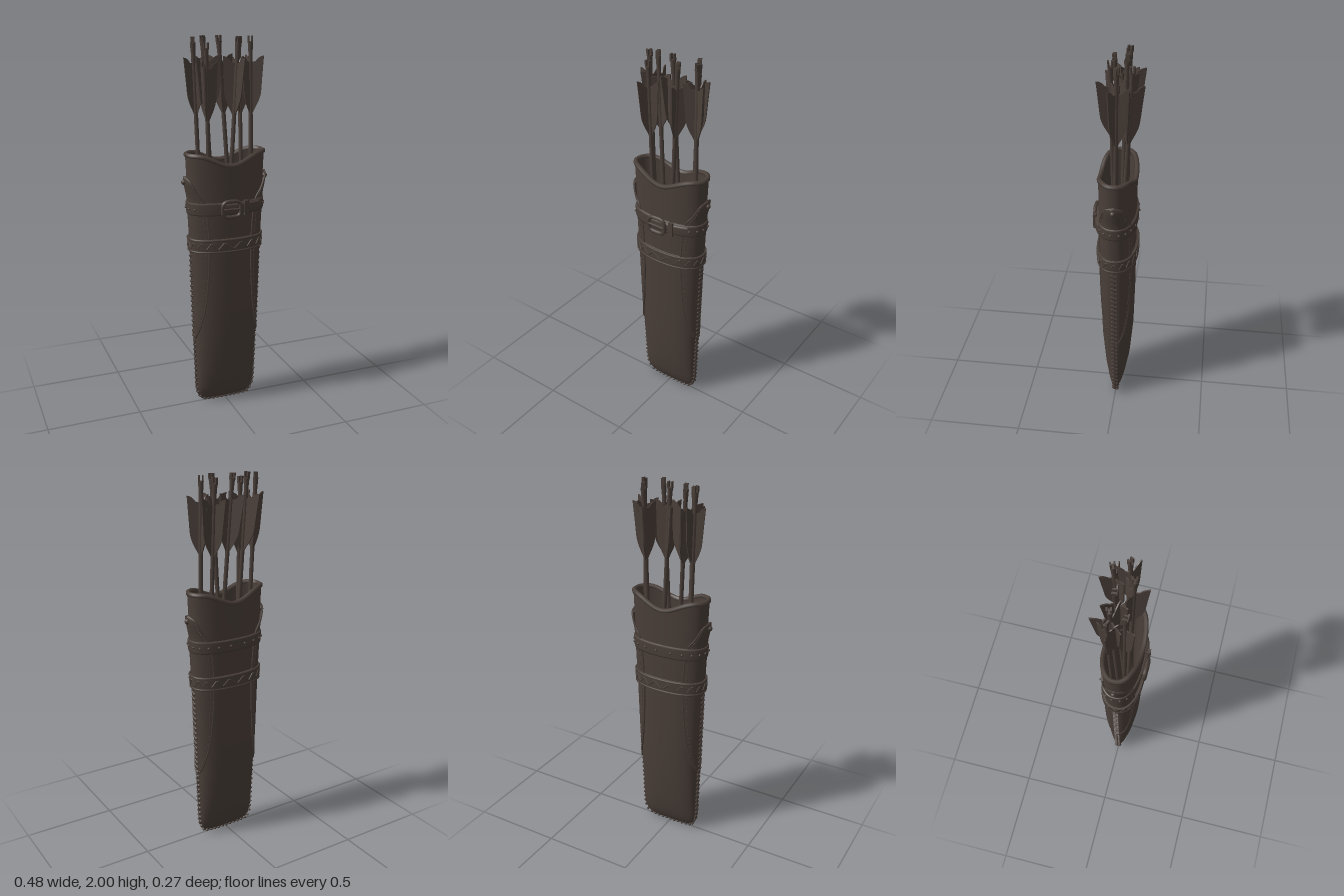
import * as THREE from 'three';
import { mergeGeometries, mergeVertices } from 'three/addons/utils/BufferGeometryUtils.js';

const V = (x, y, z) => new THREE.Vector3(x, y, z);
const TAU = Math.PI * 2;

// Half width and half depth of the case at each height: [y, w, d]
const PROFILE = [
  [0.01, 0.09, 0.004], [0.015, 0.125, 0.014], [0.03, 0.147, 0.024], [0.06, 0.16, 0.036],
  [0.1, 0.166, 0.047], [0.2, 0.169, 0.066], [0.4, 0.176, 0.084], [0.65, 0.183, 0.091],
  [0.9, 0.19, 0.094], [1.2, 0.204, 0.096], [1.45, 0.215, 0.097],
];

function sizeAt(y) {
  let i = 0;
  while (i < PROFILE.length - 2 && y > PROFILE[i + 1][0]) i++;
  const [a, b] = [PROFILE[i], PROFILE[i + 1]];
  const t = THREE.MathUtils.clamp((y - a[0]) / (b[0] - a[0]), 0, 1);
  return [a[1] + (b[1] - a[1]) * t, a[2] + (b[2] - a[2]) * t];
}

// Point on the case; phi = 0 is +x, phi = PI/2 is the front
function onCase(phi, y, off = 0) {
  const [w, d] = sizeAt(y);
  const p = (v) => Math.sign(v) * Math.abs(v) ** 0.86;
  return V((w + off) * p(Math.cos(phi)), y, (d + off) * p(Math.sin(phi)));
}

// Smooth surface from a rule over u, v in 0..1
function surface(nu, nv, fn) {
  const pos = [], idx = [];
  for (let i = 0; i <= nu; i++)
    for (let j = 0; j <= nv; j++) pos.push(...fn(i / nu, j / nv).toArray());
  for (let i = 0; i < nu; i++)
    for (let j = 0; j < nv; j++) {
      const a = i * (nv + 1) + j, d = a + nv + 1;
      idx.push(a, a + 1, d + 1, a, d + 1, d);
    }
  let g = new THREE.BufferGeometry();
  g.setAttribute('position', new THREE.Float32BufferAttribute(pos, 3));
  g.setIndex(idx);
  g = mergeVertices(g, 1e-5);
  g.computeVertexNormals();
  return g;
}

// Flat strap wrapped round the case between two angles
function strap(y0, y1, off, from = 0, to = TAU, base = -0.004) {
  const rows = [[base, y0], [off * 0.8, y0], [off, y0 + 0.008], [off, y1 - 0.008], [off * 0.8, y1], [base, y1]];
  return surface(96, rows.length - 1, (u, v) => {
    const [o, y] = rows[Math.round(v * (rows.length - 1))];
    return onCase(from + (to - from) * u, y, o);
  });
}

const tube = (pts, r, closed = false, n = 96) =>
  new THREE.TubeGeometry(new THREE.CatmullRomCurve3(pts, closed), n, r, 6, closed);

// Short rounded stitch between two points
function stitch(a, b, r) {
  const dir = b.clone().sub(a);
  const g = new THREE.CapsuleGeometry(r, dir.length(), 2, 6);
  g.applyQuaternion(new THREE.Quaternion().setFromUnitVectors(V(0, 1, 0), dir.normalize()));
  return g.translate((a.x + b.x) / 2, (a.y + b.y) / 2, (a.z + b.z) / 2);
}

function rimHeight(phi) {
  const x = Math.min(1, Math.abs(onCase(phi, 1.4).x) / 0.185);
  return 1.412 - 0.055 * (0.5 + 0.5 * Math.cos(Math.PI * x));
}

export function createModel() {
  const root = new THREE.Group();
  root.name = 'arrowQuiver';
  const leather = new THREE.MeshStandardMaterial({ color: 0x4a3f39, side: THREE.DoubleSide });
  leather.name = 'darkBrown';
  const add = (name, geo, parent = root) => {
    const m = new THREE.Mesh(geo, leather);
    m.name = name;
    parent.add(m);
    return m;
  };

  // Case: outer wall, lining, floor and rolled rim
  const ys = [...PROFILE.slice(0, 9).map((r) => r[0]), 1.05, 1.2];
  add('caseBody', surface(80, ys.length, (u, v) => {
    const i = Math.round(v * ys.length), phi = u * TAU;
    return onCase(phi, i < ys.length ? ys[i] : rimHeight(phi));
  }));
  add('caseLining', surface(64, 8, (u, v) => {
    const phi = -u * TAU;
    return onCase(phi, 0.2 + (rimHeight(phi) - 0.2) * v, -0.016);
  }));
  add('caseFloor', surface(48, 1, (u, v) => {
    const p = onCase(-u * TAU, 0.2, -0.016);
    return V(p.x * v, 0.2, p.z * v);
  }));
  const rim = Array.from({ length: 72 }, (_, i) => {
    const phi = (i / 72) * TAU;
    return onCase(phi, rimHeight(phi), -0.005);
  });
  add('caseRim', tube(rim, 0.013, true, 144));

  // Side panels: half-angle outline against height, flared to a tab at the top
  const outline = new THREE.CatmullRomCurve3([
    V(0, 0.385, 0), V(0.25, 0.41, 0), V(0.55, 0.48, 0), V(0.8, 0.6, 0), V(0.92, 0.75, 0),
    V(0.97, 0.9, 0), V(0.96, 1.05, 0), V(0.88, 1.16, 0), V(0.62, 1.22, 0), V(0.4, 1.275, 0), V(0, 1.3, 0)]);
  const panelPoint = (mid, t, k, lift = 0) => {
    const p = outline.getPoint(t);
    const flare = 0.016 * THREE.MathUtils.smoothstep(p.y, 1.17, 1.29) * (1 - 0.4 * Math.abs(k));
    return onCase(mid + k * Math.max(0, p.x), p.y, 0.005 + flare + lift);
  };
  for (const [side, mid] of [['left', 0], ['right', Math.PI]]) {
    const s = mid ? -1 : 1;
    add(side + 'SidePanel', surface(24, 50, (u, v) => panelPoint(mid, v, u * 2 - 1)));
    const edge = [];
    for (let i = 0; i <= 40; i++) edge.push(panelPoint(mid, i / 40, 1, -0.002));
    for (let i = 39; i > 0; i--) edge.push(panelPoint(mid, i / 40, -1, -0.002));
    add(side + 'PanelEdge', tube(edge, 0.005, true, 160));

    const dashes = [];
    for (const k of [-0.87, 0.87])
      for (let i = 4; i < 50; i++)
        dashes.push(stitch(panelPoint(mid, i / 54, k), panelPoint(mid, (i + 0.55) / 54, k), 0.0025));
    add(side + 'PanelStitching', mergeGeometries(dashes));

    // Rivet on the tab
    const rivet = add(side + 'TabRivet', new THREE.SphereGeometry(0.014, 16, 10));
    rivet.position.set(s * 0.226, 1.272, 0);

    // Laced seam down the side
    const seam = [], laces = [];
    for (let i = 0; i <= 30; i++) seam.push(onCase(mid, 0.02 + i * 0.029, 0.003));
    for (let y = 0.03; y < 0.9; y += 0.029) {
      const p = onCase(mid, y, y > 0.39 ? 0.006 : 0.003);
      laces.push(stitch(V(p.x, y - 0.004, -0.012), V(p.x, y + 0.004, 0.012), 0.0065));
    }
    add(side + 'Seam', tube(seam, 0.006));
    add(side + 'SeamLacing', mergeGeometries(laces));
  }

  // Laced seam along the bottom
  const bottomLaces = [];
  for (let i = -5; i <= 5; i++) {
    const x = i * 0.0255, y = 0.008 + 0.006 * (i / 5) ** 4;
    bottomLaces.push(stitch(V(x - 0.003, y, -0.01), V(x + 0.003, y, 0.01), 0.008));
  }
  add('bottomLacing', mergeGeometries(bottomLaces));
  add('bottomSeam', tube([V(-0.147, 0.028, 0), V(-0.12, 0.014, 0), V(0, 0.01, 0), V(0.12, 0.014, 0), V(0.147, 0.028, 0)], 0.007));

  // Lower belt with raised edges and zigzag lacing
  add('lowerBelt', strap(0.9, 0.972, 0.013));
  const zigzag = [];
  for (let i = 0; i < 36; i++) {
    const a = (i / 36) * TAU, up = i % 2 ? 1 : -1;
    zigzag.push(stitch(onCase(a, 0.936 - up * 0.014, 0.013), onCase(a + 0.13, 0.936 + up * 0.014, 0.013), 0.0045));
  }
  add('lowerBeltLacing', mergeGeometries(zigzag));
  for (const y of [0.904, 0.968])
    add('lowerBeltEdge', tube(Array.from({ length: 48 }, (_, i) => onCase((i / 48) * TAU, y, 0.011)), 0.006, true));

  // Upper belt, loose end and studs
  add('upperBelt', strap(1.102, 1.168, 0.011));
  add('beltEnd', strap(1.108, 1.162, 0.021, 0.8, 1.75, 0.009));
  const studs = [];
  for (let i = 0; i < 20; i++) {
    const p = onCase((i / 20) * TAU + 0.1, 1.135, 0.012);
    if (p.z < 0.08) studs.push(new THREE.SphereGeometry(0.007, 8, 6).translate(p.x, p.y, p.z));
  }
  add('beltStuds', mergeGeometries(studs));

  // Buckle at the front
  const buckle = new THREE.Group();
  buckle.name = 'buckle';
  buckle.position.set(-0.008, 1.136, 0.119);
  root.add(buckle);
  const q = (v) => Math.sign(v) * Math.abs(v) ** 0.6;
  add('buckleFrame', tube(Array.from({ length: 32 }, (_, i) =>
    V(0.05 * q(Math.cos(i / 32 * TAU)), 0.042 * q(Math.sin(i / 32 * TAU)), 0)), 0.01, true), buckle);
  add('bucklePin', stitch(V(-0.045, 0, 0.004), V(0.045, 0, 0.006), 0.006), buckle);
  add('beltKeeper', new THREE.BoxGeometry(0.024, 0.08, 0.016), buckle).position.set(0.085, 0, -0.007);

  // Arrows: [x, z, top, lean x, lean z, turn, vane scale]
  const arrows = [
    [-0.157, -0.04, 1.995, -0.035, -0.01, 1.15, 0.72],
    [-0.105, -0.04, 2.0, -0.05, -0.02, 1.83, 1.2],
    [-0.112, 0.032, 1.97, -0.02, 0.01, -0.05, 0.8],
    [-0.02, -0.04, 2.0, -0.065, -0.02, 0.1, 0.95],
    [0.06, 0.03, 1.995, 0.05, 0.01, -1.35, 0.95],
    [0.107, -0.08, 1.99, -0.005, -0.05, 2.0, 0.9],
    [0.142, -0.01, 1.995, -0.01, -0.01, -0.55, 0.92],
  ];
  const vane = new THREE.Shape();
  vane.moveTo(0.006, -0.4);
  vane.bezierCurveTo(0.02, -0.36, 0.055, -0.33, 0.06, -0.27);
  vane.quadraticCurveTo(0.067, -0.18, 0.075, -0.098);
  vane.quadraticCurveTo(0.045, -0.1, 0.03, -0.125);
  vane.lineTo(0.006, -0.13);
  const vaneGeo = new THREE.ExtrudeGeometry(vane, { depth: 0.006, bevelEnabled: false, curveSegments: 8 }).translate(0, 0, -0.003);
  const shaftGeo = new THREE.CylinderGeometry(0.011, 0.011, 1.46, 12).translate(0, -0.77, 0);
  const nockGeo = new THREE.CylinderGeometry(0.014, 0.011, 0.055, 12).translate(0, -0.055, 0);
  const prongGeo = new THREE.BoxGeometry(0.008, 0.034, 0.018).translate(0, -0.017, 0);
  for (const [x, z, top, lx, lz, turn, k] of arrows) {
    const arrow = new THREE.Group();
    arrow.name = 'arrow';
    arrow.position.set(x, top, z);
    arrow.quaternion.setFromUnitVectors(V(0, 1, 0), V(lx, 1, lz).normalize());
    arrow.rotateY(turn);
    add('arrowShaft', shaftGeo, arrow);
    add('arrowNock', nockGeo, arrow);
    for (const s of [-1, 1]) add('nockProng', prongGeo, arrow).position.x = s * 0.009;
    for (let i = 0; i < 3; i++) {
      const f = add('arrowVane', vaneGeo, arrow);
      f.rotation.y = (i / 3) * TAU;
      f.scale.x = k;
    }
    root.add(arrow);
  }
  return root;
}
